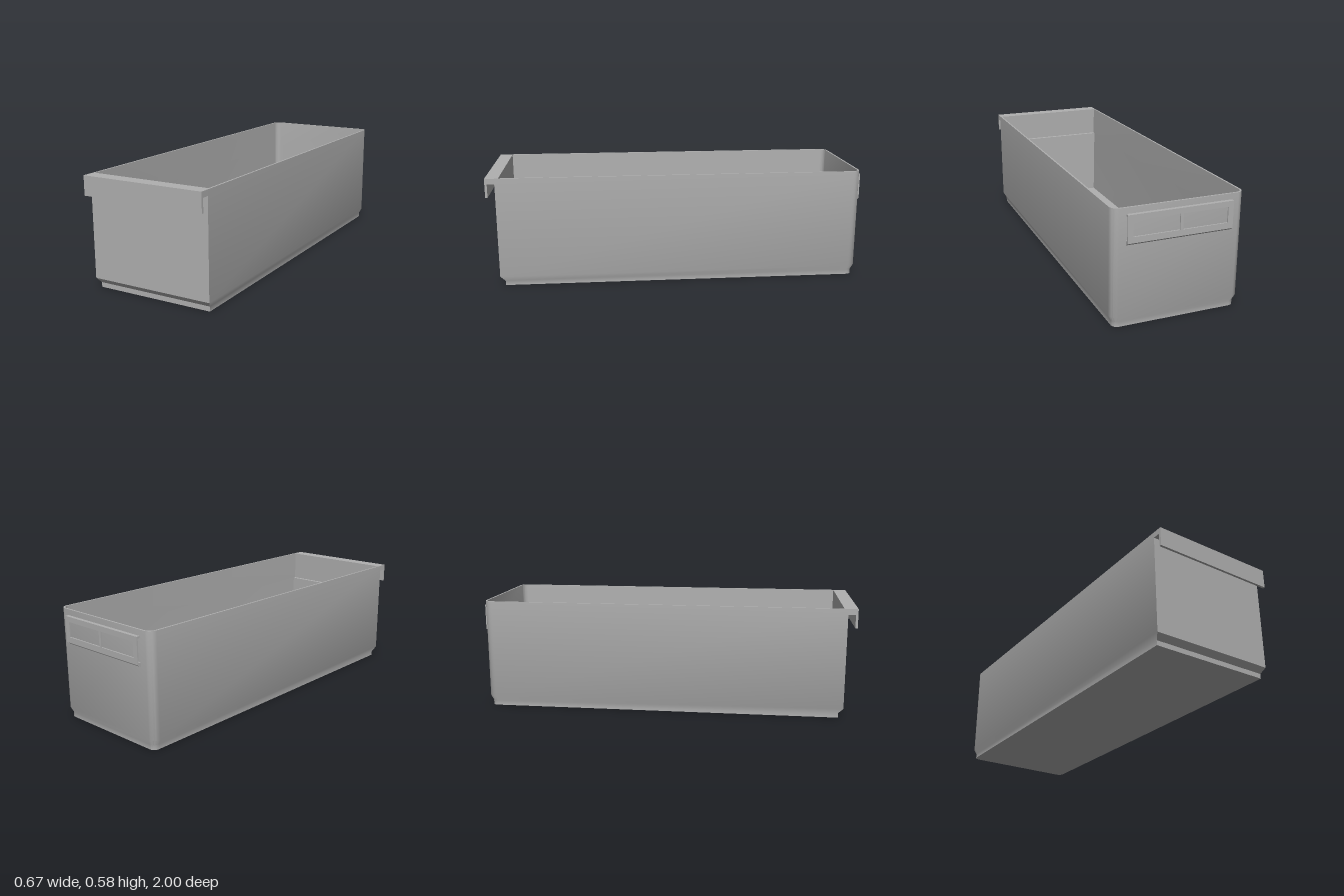
import * as THREE from 'three';
import { toCreasedNormals } from 'three/addons/utils/BufferGeometryUtils.js';

// Horizontal outline: square front corners, rounded back corners.
function ring(halfWidth, back, front, radius, y) {
  const points = [[halfWidth, y, front]];
  const steps = 8;
  for (const side of [1, -1]) {
    for (let i = 0; i <= steps; i++) {
      const a = (Math.PI / 2) * (side > 0 ? i / steps : 1 - i / steps);
      points.push([
        side * (halfWidth - radius + radius * Math.cos(a)), y,
        back + radius - radius * Math.sin(a),
      ]);
    }
  }
  points.push([-halfWidth, y, front]);
  return points;
}

// Skin a stack of outlines and close the first and last one.
function loft(rings) {
  const pos = [];
  const tri = (a, b, c) => pos.push(...a, ...b, ...c);
  const n = rings[0].length;
  for (let k = 0; k < rings.length - 1; k++) {
    const lo = rings[k], hi = rings[k + 1];
    for (let i = 0; i < n; i++) {
      const j = (i + 1) % n;
      tri(lo[i], lo[j], hi[j]);
      tri(lo[i], hi[j], hi[i]);
    }
  }
  const first = rings[0], last = rings[rings.length - 1];
  for (let i = 1; i < n - 1; i++) {
    tri(first[0], first[i + 1], first[i]);
    tri(last[0], last[i], last[i + 1]);
  }
  const geometry = new THREE.BufferGeometry();
  geometry.setAttribute('position', new THREE.Float32BufferAttribute(pos, 3));
  return toCreasedNormals(geometry, 0.6);
}

// Extrude a (z, y) side profile across the width.
function acrossWidth(profile, width) {
  const shape = new THREE.Shape(profile.map(([z, y]) => new THREE.Vector2(z, y)));
  const geometry = new THREE.ExtrudeGeometry(shape, { depth: width, bevelEnabled: false });
  return geometry.rotateY(-Math.PI / 2).translate(width / 2, 0, 0);
}

function rectangle(Type, x0, y0, x1, y1) {
  return new Type([[x0, y0], [x1, y0], [x1, y1], [x0, y1]].map((p) => new THREE.Vector2(...p)));
}

export function createModel() {
  const model = new THREE.Group();
  model.name = 'storageBin';
  const plastic = new THREE.MeshStandardMaterial({ color: 0xb0b0b0 });
  plastic.name = 'grey plastic';
  const add = (parent, name, geometry) => {
    const mesh = new THREE.Mesh(geometry, plastic);
    mesh.name = name;
    parent.add(mesh);
  };

  // Bin: stepped foot, outer walls, rim, then inner walls with a front ledge.
  add(model, 'bin', loft([
    ring(0.319, -0.967, 0.925, 0.03, 0),
    ring(0.319, -0.967, 0.925, 0.03, 0.025),
    ring(0.333, -0.981, 0.95, 0.042, 0.053),
    ring(0.333, -0.981, 0.95, 0.042, 0.585),
    ring(0.324, -0.972, 0.93, 0.033, 0.585),
    ring(0.321, -0.969, 0.93, 0.031, 0.42),
    ring(0.321, -0.969, 0.914, 0.031, 0.419),
    ring(0.314, -0.963, 0.912, 0.027, 0.02),
  ]));

  // Hooked handle lip along the front rim.
  add(model, 'frontLip', acrossWidth([
    [0.945, 0.585], [1, 0.585], [1, 0.485],
    [0.988, 0.485], [0.988, 0.555], [0.945, 0.555],
  ], 0.666));

  // Label holder on the back: open-ended pocket with two windows.
  const holder = new THREE.Group();
  holder.name = 'labelHolder';
  model.add(holder);
  const frame = rectangle(THREE.Shape, -0.265, 0.42, 0.265, 0.555);
  frame.holes.push(
    rectangle(THREE.Path, -0.238, 0.45, -0.007, 0.528),
    rectangle(THREE.Path, 0.007, 0.45, 0.238, 0.528),
  );
  add(holder, 'labelFrame',
    new THREE.ExtrudeGeometry(frame, { depth: 0.007, bevelEnabled: false }).translate(0, 0, -1));
  add(holder, 'holderTop', acrossWidth([
    [-0.978, 0.545], [-0.978, 0.555], [-0.994, 0.555], [-0.994, 0.545],
  ], 0.53));
  add(holder, 'holderShelf', acrossWidth([
    [-0.978, 0.405], [-0.978, 0.43], [-0.994, 0.43], [-1, 0.42],
  ], 0.53));

  return model;
}
